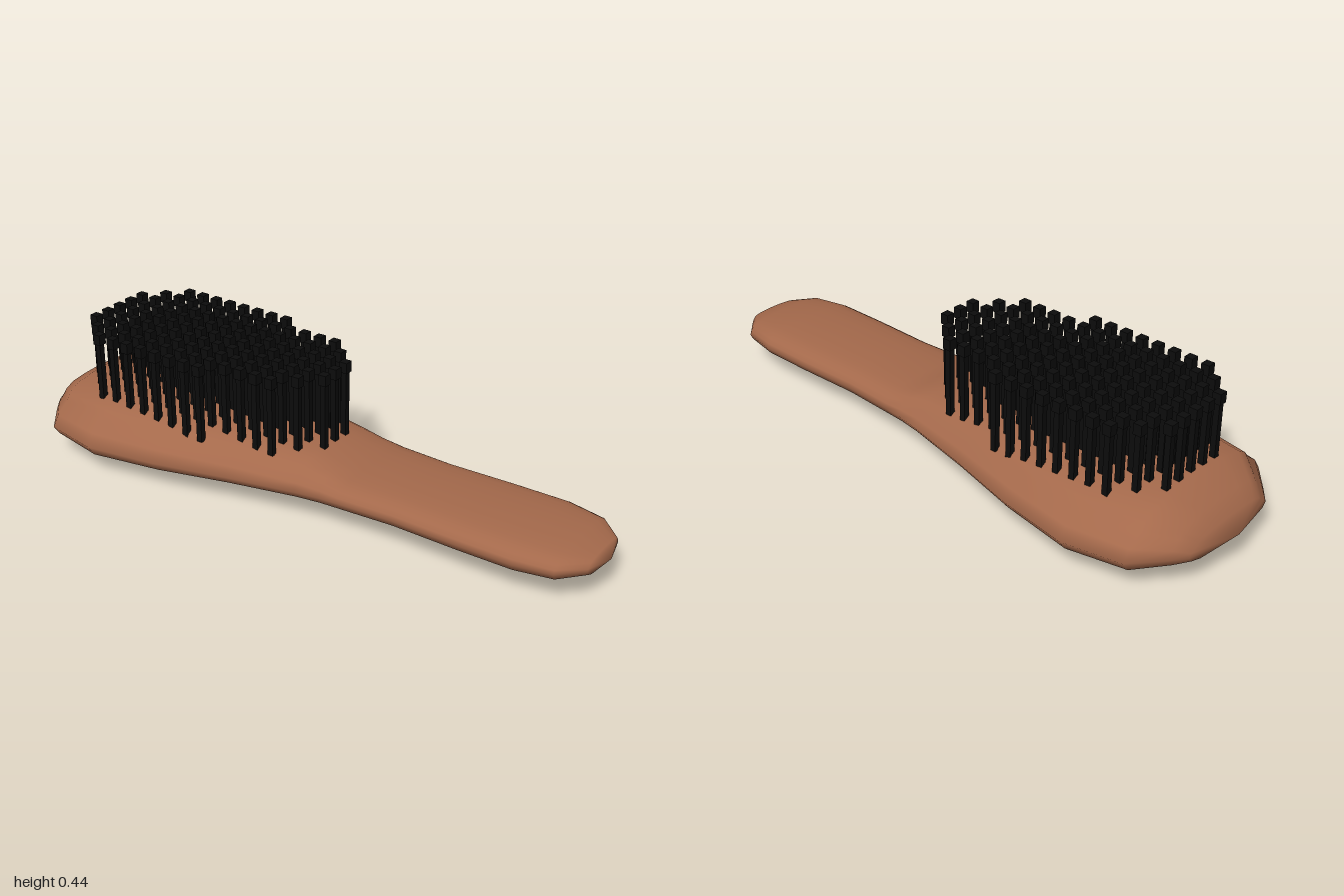
import * as THREE from 'three';
import { mergeGeometries } from 'three/addons/utils/BufferGeometryUtils.js';

const MID = 0.105; // height of the widest line around the body

// Half cross-sections (x, y as fractions of half width and of height above / below MID)
const headHalf = [[1, 0], [0.925, 0.27], [0.79, 0.52], [0.74, 0.68], [0.62, 0.86], [0.37, 0.95], [0, 1],
  [0.38, -0.905], [0.7, -0.69], [0.925, -0.36], [0, -1]];
const gripHalf = [[1, 0], [0.97, 0.27], [0.91, 0.54], [0.82, 0.74], [0.64, 0.88], [0.37, 0.96], [0, 1],
  [0.38, -0.95], [0.7, -0.82], [0.94, -0.45], [0, -1]];

// Closed loop, anticlockwise seen from the front
function fullLoop(half) {
  const mirror = ([x, y]) => [-x, y];
  const top = half.slice(1, 6);
  const low = half.slice(7, 10);
  return [half[0], ...top, half[6], ...top.map(mirror).reverse(), mirror(half[0]),
    ...low.map(mirror).reverse(), half[10], ...low];
}

// Stations from head to handle: z, half width, top y, bottom y, handle blend
const stations = [
  [-0.965, 0.185, 0.15, 0.068, 0.5],
  [-0.93, 0.23, 0.192, 0.045, 0.3],
  [-0.85, 0.325, 0.236, 0.014, 0],
  [-0.66, 0.363, 0.245, 0, 0],
  [-0.42, 0.325, 0.236, 0.013, 0],
  [-0.18, 0.264, 0.219, 0.029, 0],
  [0.05, 0.214, 0.197, 0.045, 0.2],
  [0.13, 0.2, 0.176, 0.05, 0.6],
  [0.2, 0.194, 0.16, 0.054, 1],
  [0.38, 0.184, 0.158, 0.056, 1],
  [0.6, 0.19, 0.158, 0.056, 1],
  [0.78, 0.19, 0.158, 0.056, 1],
  [0.9, 0.168, 0.149, 0.062, 1],
  [0.97, 0.1, 0.132, 0.078, 1],
];

function bodyGeometry() {
  const a = fullLoop(headHalf);
  const b = fullLoop(gripHalf);
  const n = a.length;
  const pos = [];
  const index = [];
  for (const [z, w, top, low, k] of stations) {
    for (let j = 0; j < n; j++) {
      const x = THREE.MathUtils.lerp(a[j][0], b[j][0], k) * w;
      const y = THREE.MathUtils.lerp(a[j][1], b[j][1], k);
      pos.push(x, MID + y * (y > 0 ? top - MID : MID - low), z);
    }
  }
  const backTip = stations.length * n;
  const frontTip = backTip + 1;
  pos.push(0, MID, -1, 0, MID, 0.995);
  const last = (stations.length - 1) * n;
  for (let j = 0; j < n; j++) {
    const j2 = (j + 1) % n;
    for (let i = 0; i < last; i += n) {
      index.push(i + j, i + j2, i + n + j, i + j2, i + n + j2, i + n + j);
    }
    index.push(backTip, j2, j, frontTip, last + j, last + j2);
  }
  const g = new THREE.BufferGeometry();
  g.setAttribute('position', new THREE.Float32BufferAttribute(pos, 3));
  g.setIndex(index);
  g.computeVertexNormals();
  return g;
}

// Box standing between two heights
function post(size, y0, y1, x, z) {
  return new THREE.BoxGeometry(size, y1 - y0, size).translate(x, (y0 + y1) / 2, z);
}

export function createModel() {
  const model = new THREE.Group();
  model.name = 'hairbrush';

  // One-piece wooden head and handle
  const wood = new THREE.MeshStandardMaterial({ color: 0xa4694b });
  const body = new THREE.Mesh(bodyGeometry(), wood);
  body.name = 'headAndHandle';
  model.add(body);

  // Bristle rows from the far end: number of bristles either side of the centre
  const rows = [2, 3, 4, 4, 4, 4, 4, 4, 4, 4, 3, 3, 3, 3, 2, 1];
  const stems = [];
  const caps = [];
  rows.forEach((count, r) => {
    const z = -0.825 + r * 0.0585;
    for (let c = -count; c <= count; c++) {
      const x = c * 0.0562;
      stems.push(post(0.019, 0.18, 0.41, x, z));
      caps.push(post(0.028, 0.406, 0.441, x, z));
    }
  });

  const black = new THREE.MeshStandardMaterial({ color: 0x0c0c0c });
  const bristles = new THREE.Group();
  bristles.name = 'bristles';
  for (const [name, parts] of [['bristleStems', stems], ['bristleTips', caps]]) {
    const mesh = new THREE.Mesh(mergeGeometries(parts), black);
    mesh.name = name;
    bristles.add(mesh);
  }
  model.add(bristles);
  return model;
}
